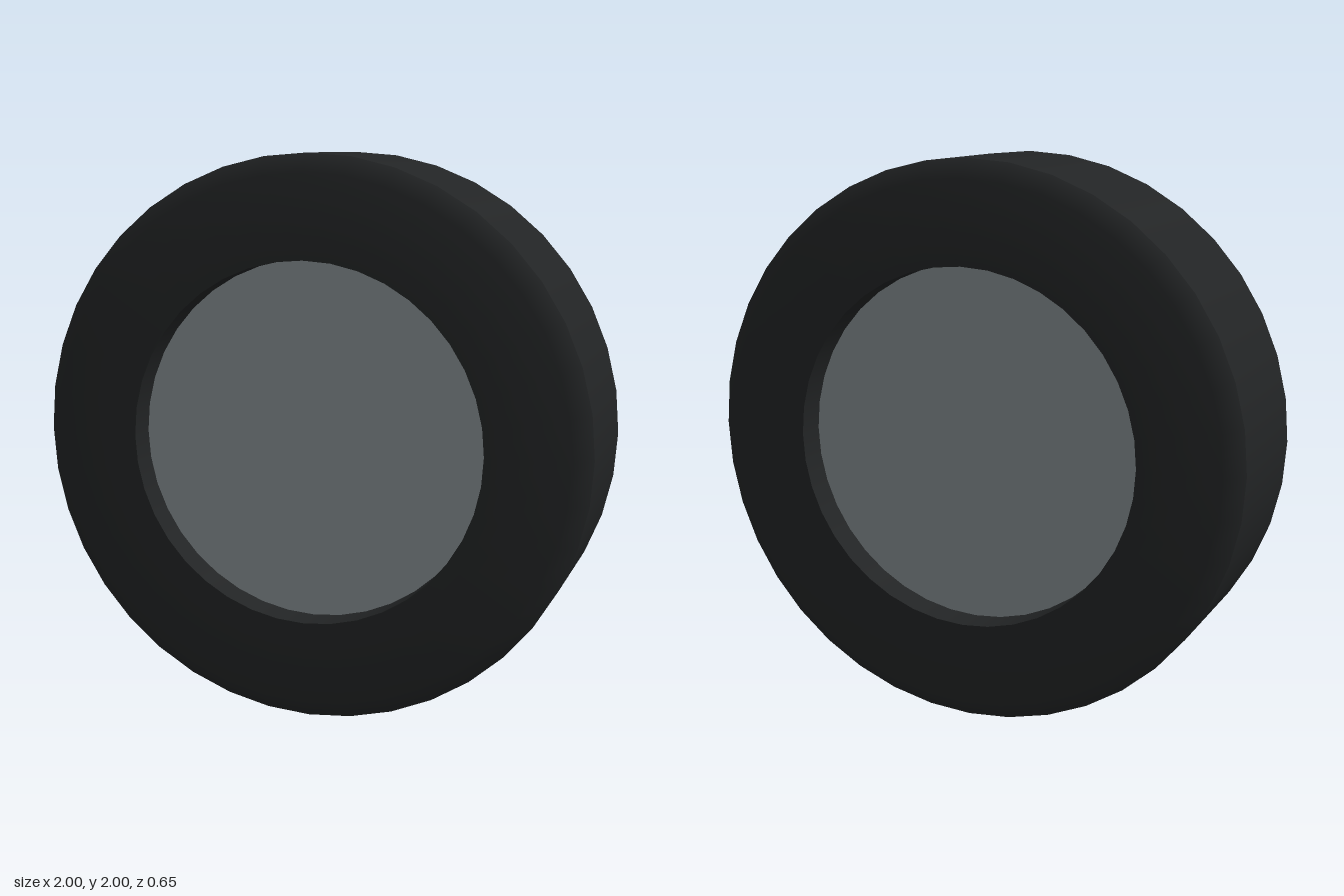
import * as THREE from 'three';

const SEGMENTS = 40;
const R = 1, SHOULDER_R = 0.935, BORE_R = 0.64;
const HALF_WIDTH = 0.325, HALF_TREAD = 0.27, HUB_HALF = 0.215;

export function createModel() {
  const wheel = new THREE.Group();
  wheel.name = 'wheel';
  const rubber = new THREE.MeshStandardMaterial({ color: 0x222425 });
  const metal = new THREE.MeshStandardMaterial({ color: 0x848c8f });

  const add = (name, geometry, material) => {
    geometry.rotateX(Math.PI / 2); // wheel axle runs along z
    const mesh = new THREE.Mesh(geometry, material);
    mesh.name = name;
    mesh.position.y = R;
    wheel.add(mesh);
  };

  // Each strip is revolved separately so the edges between them stay sharp
  const ring = (name, profile) => add(name,
    new THREE.LatheGeometry(profile.map(([r, z]) => new THREE.Vector2(r, z)), SEGMENTS), rubber);

  // Tyre: tread, two shouldered sidewalls and the inner bore
  ring('tyreTread', [[R, -HALF_TREAD], [R, HALF_TREAD]]);
  ring('frontSidewall', [[R, HALF_TREAD], [SHOULDER_R, HALF_WIDTH], [BORE_R, HALF_WIDTH]]);
  ring('tyreBore', [[BORE_R, HALF_WIDTH], [BORE_R, -HALF_WIDTH]]);
  ring('backSidewall', [[BORE_R, -HALF_WIDTH], [SHOULDER_R, -HALF_WIDTH], [R, -HALF_TREAD]]);

  // Plain hub disc, recessed on both sides
  add('hubDisc', new THREE.CylinderGeometry(BORE_R, BORE_R, HUB_HALF * 2, SEGMENTS), metal);

  return wheel;
}
